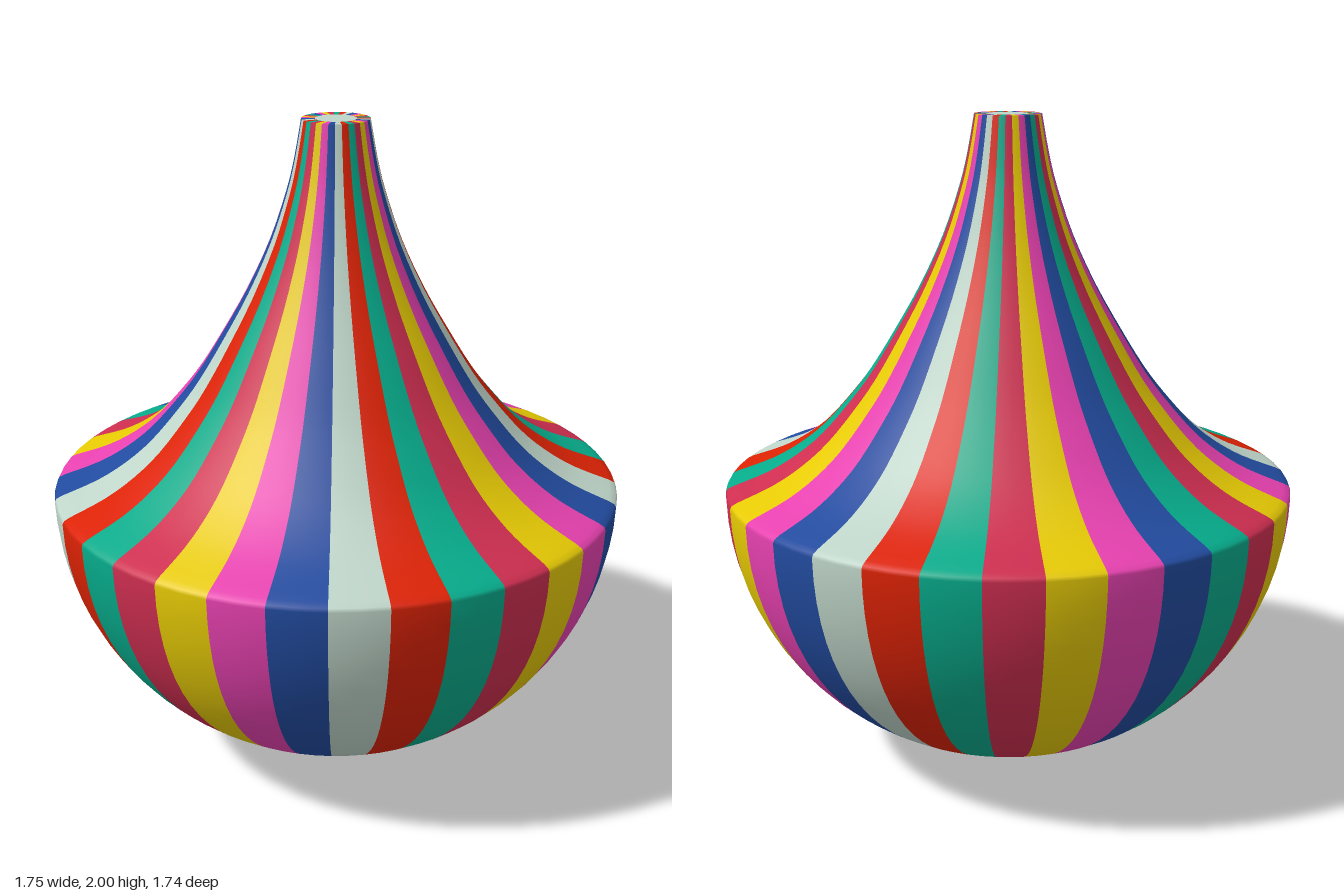
import * as THREE from 'three';

const STRIPES = 33;
const STEP = (Math.PI * 2) / STRIPES;
const RIM = 0.873;  // widest radius
const NECK = 0.1;   // radius of the flat top
const HUB = 0.06;   // radius of the pale centre of the cap

// Colours in the order they repeat around the body
const PALETTE = [
  ['green', 0x06ab8b], ['crimson', 0xce2e50], ['yellow', 0xe6ca04], ['magenta', 0xea42b2],
  ['blue', 0x224b9f], ['paleGrey', 0xbfd5c9], ['red', 0xdc2204],
];

function bodyProfile() {
  // Bowl with a slightly pointed bottom
  const points = [new THREE.Vector2(0.001, 0)];
  for (let i = 2; i <= 20; i++) {
    const a = (i / 20) * Math.PI * 0.5;
    points.push(new THREE.Vector2(RIM * Math.sin(a), 0.877 - 0.853 * Math.cos(a)));
  }
  // Softened rim, then the hollow-curved shoulder and neck
  points.push(new THREE.Vector2(0.868, 0.887));
  const shoulder = new THREE.SplineCurve([
    [0.85, 0.896], [0.74, 0.938], [0.65, 0.99], [0.57, 1.055], [0.485, 1.15], [0.42, 1.235],
    [0.345, 1.355], [0.265, 1.495], [0.195, 1.645], [0.145, 1.79], [0.12, 1.89], [NECK, 2],
  ].map(([x, y]) => new THREE.Vector2(x, y)));
  return points.concat(shoulder.getPoints(33));
}

export function createModel() {
  const model = new THREE.Group();
  model.name = 'stripedTeardrop';
  const materials = PALETTE.map(([name, color]) => {
    const material = new THREE.MeshStandardMaterial({ color });
    material.name = name;
    return material;
  });
  const add = (name, geometry, material) => {
    const mesh = new THREE.Mesh(geometry, material);
    mesh.name = name;
    model.add(mesh);
    return mesh;
  };

  // Vertical stripes, starting at the -x side and passing the front
  const profile = bodyProfile();
  for (let i = 0; i < STRIPES; i++) {
    const material = materials[i % PALETTE.length];
    const start = -Math.PI / 2 + i * STEP;
    add('bodyStripe', new THREE.LatheGeometry(profile, 2, start, STEP), material);

    // Matching wedge around the edge of the flat top
    const wedge = new THREE.RingGeometry(HUB, NECK, 2, 1, start - Math.PI / 2, STEP);
    add('capStripe', wedge.rotateX(-Math.PI / 2), material).position.y = 2;
  }

  // Pale centre of the flat top
  const hub = new THREE.CircleGeometry(HUB, STRIPES * 2).rotateX(-Math.PI / 2);
  add('capCentre', hub, materials[5]).position.y = 2;

  return model;
}
